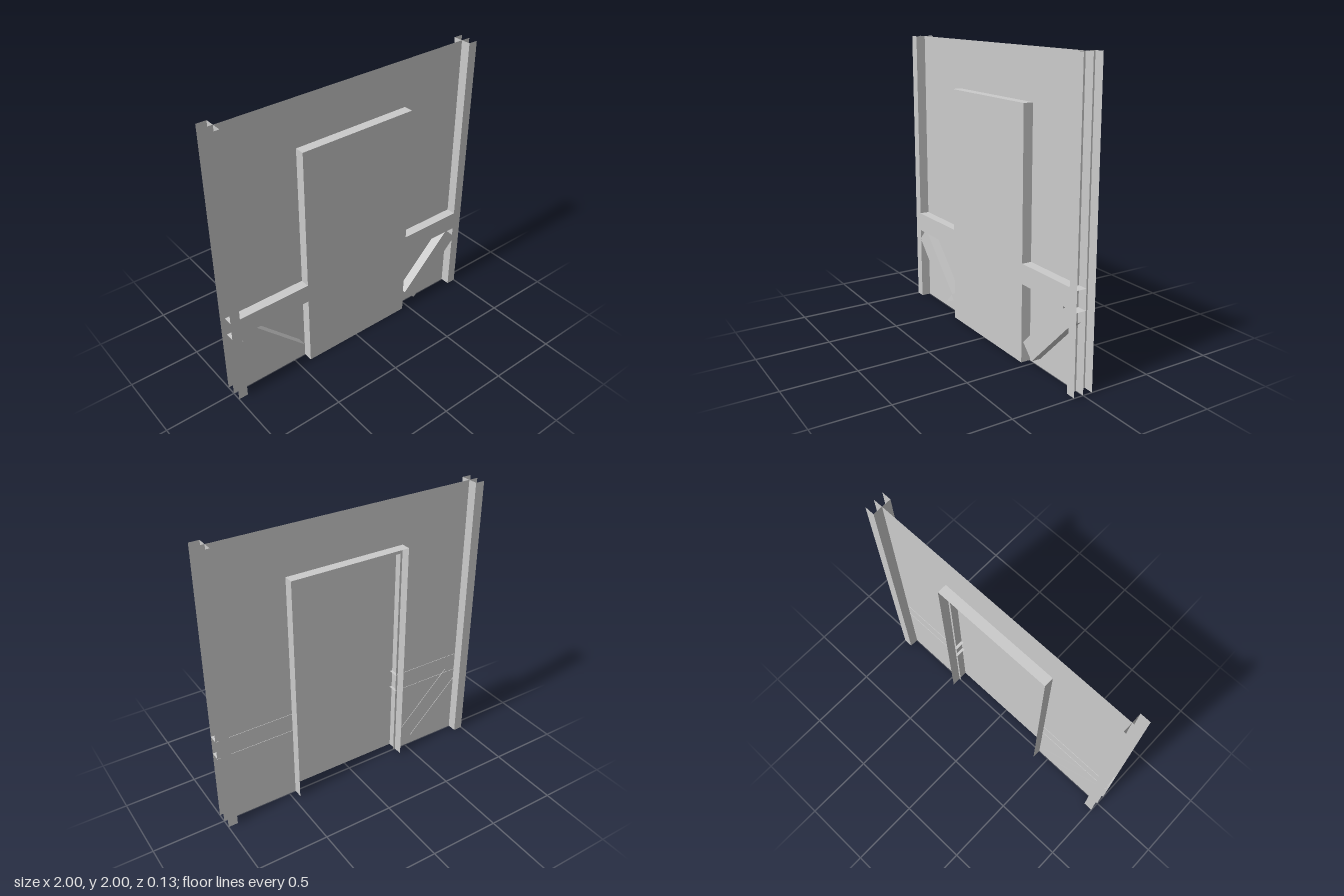
import * as THREE from 'three';

const FRONT = 0.067, BACK = -0.067;
const material = new THREE.MeshStandardMaterial({ color: 0xcccccc, side: THREE.DoubleSide, flatShading: true });

function add(parent, name, geometry) {
  const mesh = new THREE.Mesh(geometry, material);
  mesh.name = name;
  parent.add(mesh);
  return mesh;
}

// Sheet facing z, spanning x0..x1 and y0..y1
function faceZ(parent, name, x0, x1, y0, y1, z) {
  add(parent, name, new THREE.PlaneGeometry(x1 - x0, y1 - y0))
    .position.set((x0 + x1) / 2, (y0 + y1) / 2, z);
}

// Sheet facing x, spanning y0..y1 and z0..z1
function faceX(parent, name, x, y0, y1, z0, z1) {
  add(parent, name, new THREE.PlaneGeometry(z1 - z0, y1 - y0).rotateY(Math.PI / 2))
    .position.set(x, (y0 + y1) / 2, (z0 + z1) / 2);
}

// Sheet facing y, spanning x0..x1 and z0..z1
function faceY(parent, name, x0, x1, y, z0, z1) {
  add(parent, name, new THREE.PlaneGeometry(x1 - x0, z1 - z0).rotateX(-Math.PI / 2))
    .position.set((x0 + x1) / 2, y, (z0 + z1) / 2);
}

// Open-ended U channel with its back towards the front, centred at x, y and turned by angle
function channel(parent, name, x, y, length, width, angle, back) {
  const g = new THREE.Group();
  g.name = name;
  const l = length / 2, w = width / 2;
  faceZ(g, name + 'Face', -l, l, -w, w, FRONT);
  for (const s of [-w, w]) faceY(g, name + 'Side', -l, l, s, back, FRONT);
  g.position.set(x, y, 0);
  g.rotation.z = angle;
  parent.add(g);
}

export function createModel() {
  const model = new THREE.Group();
  model.name = 'wallWithDoor';

  // Wall sheet, cut away behind the door
  const wall = new THREE.Shape([
    [-1, 0], [-0.395, 0], [-0.395, 1.61], [0.435, 1.61],
    [0.435, 0], [1, 0], [1, 2], [-1, 2],
  ].map(([x, y]) => new THREE.Vector2(x, y)));
  add(model, 'wallSheet', new THREE.ShapeGeometry(wall));

  // Edge posts: web with front and back flanges
  for (const s of [-1, 1]) {
    const post = new THREE.Group();
    post.name = s > 0 ? 'leftPost' : 'rightPost';
    const x0 = s > 0 ? 0.932 : -1, x1 = s > 0 ? 1 : -0.932;
    faceX(post, 'postWeb', s * 0.932, 0, 2, BACK, FRONT);
    faceZ(post, 'frontFlange', x0, x1, 0, 2, FRONT);
    faceZ(post, 'backFlange', x0, x1, 0, 2, BACK);
    model.add(post);
  }

  // Door: front panel, two jambs and a lintel, open at the back and bottom
  const door = new THREE.Group();
  door.name = 'door';
  faceZ(door, 'doorPanel', -0.41, 0.45, 0, 1.67, FRONT);
  for (const x of [-0.41, 0.45]) faceX(door, 'doorJamb', x, 0, 1.67, BACK, FRONT);
  faceY(door, 'doorLintel', -0.41, 0.45, 1.67, BACK, FRONT);
  model.add(door);

  // Horizontal rails, running through the post webs and the jambs
  channel(model, 'rightRail', -0.695, 0.602, 0.61, 0.135, 0, -0.003);
  channel(model, 'leftRail', 0.715, 0.602, 0.57, 0.135, 0, -0.003);

  // Diagonal braces below the rails
  channel(model, 'rightBrace', -0.696, 0.317, 0.555, 0.135, -Math.PI / 4, -0.003);
  channel(model, 'leftBrace', 0.713, 0.299, 0.555, 0.135, Math.PI / 4, 0);

  return model;
}
